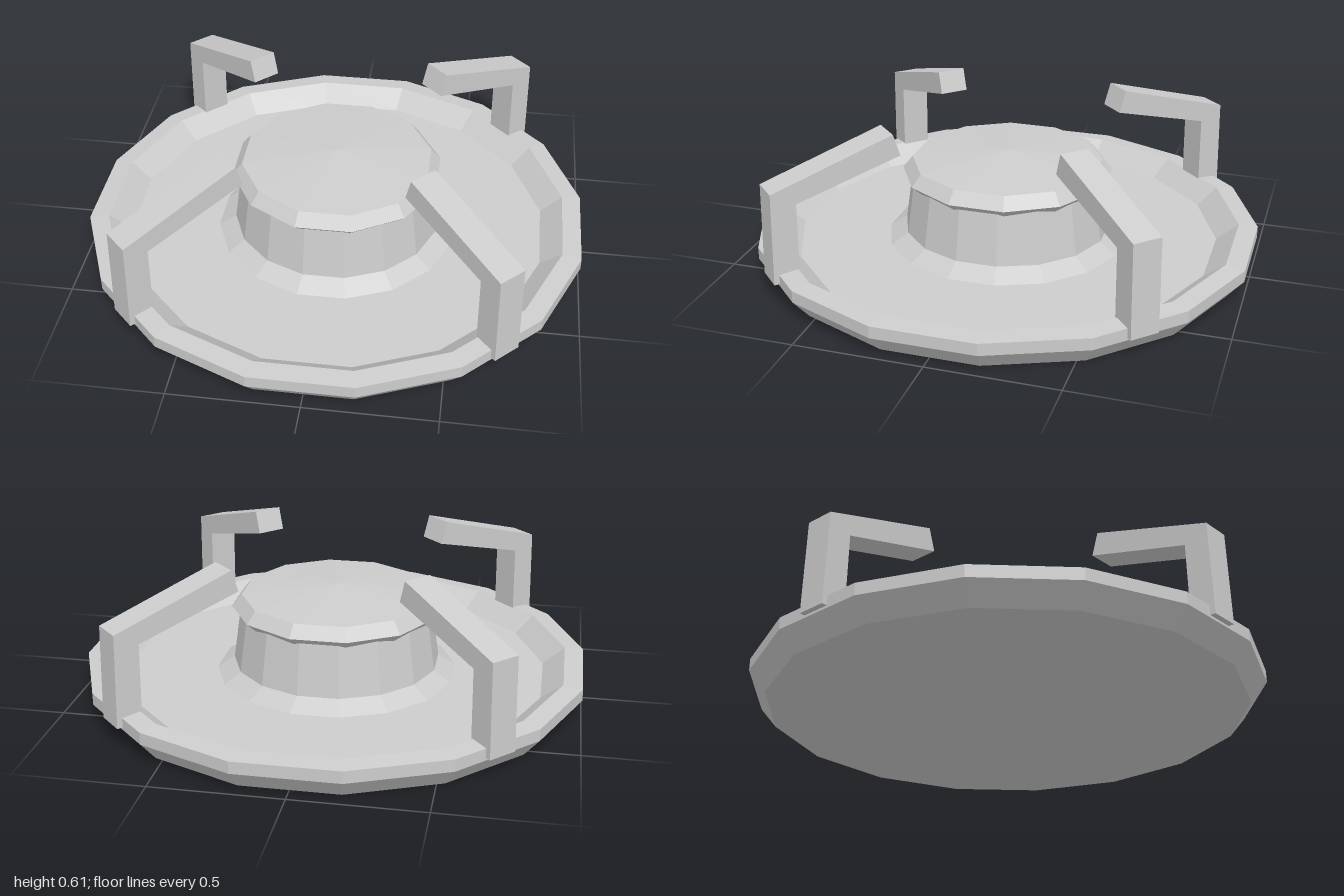
import * as THREE from 'three';

const metal = new THREE.MeshStandardMaterial({ color: 0xcccccc });
metal.name = 'grey metal';

// Faceted mesh: every face keeps its own normal
function faceted(name, geometry) {
  const flat = geometry.index ? geometry.toNonIndexed() : geometry;
  flat.computeVertexNormals();
  const mesh = new THREE.Mesh(flat, metal);
  mesh.name = name;
  return mesh;
}

// Polygonal turning whose flat sides face the axes; profile is [distance to flat, height]
function turned(name, sides, profile) {
  const k = 1 / Math.cos(Math.PI / sides);
  const points = profile.map(([r, y]) => new THREE.Vector2(r * k, y));
  return faceted(name, new THREE.LatheGeometry(points, sides, Math.PI / sides));
}

export function createModel() {
  const burner = new THREE.Group();
  burner.name = 'stoveBurner';

  // Shallow drip pan with a raised rim
  burner.add(turned('dripPan', 16, [
    [0, 0], [0.935, 0], [1, 0.08], [1, 0.128], [0.925, 0.135], [0.84, 0.065], [0, 0.065],
  ]));

  // Flared burner base
  burner.add(turned('burnerBase', 16, [
    [0.48, 0.065], [0.412, 0.11], [0.382, 0.325], [0, 0.325],
  ]));

  // Domed cap
  burner.add(turned('burnerCap', 12, [
    [0, 0.3], [0.365, 0.3], [0.41, 0.343], [0.372, 0.392], [0, 0.425],
  ]));

  // Four bent pan supports on the diagonals
  const width = 0.118;
  const outline = new THREE.Shape([
    [1.022, 0.09], [1.012, 0.458], [0.52, 0.605], [0.492, 0.515], [0.915, 0.402], [0.92, 0.09],
  ].map(([r, y]) => new THREE.Vector2(r, y)));
  for (let i = 0; i < 4; i++) {
    const geometry = new THREE.ExtrudeGeometry(outline, { depth: width, bevelEnabled: false });
    geometry.translate(0, 0, -width / 2);
    const support = faceted('panSupport' + (i + 1), geometry);
    support.rotation.y = Math.PI / 4 + i * Math.PI / 2;
    burner.add(support);
  }
  return burner;
}
